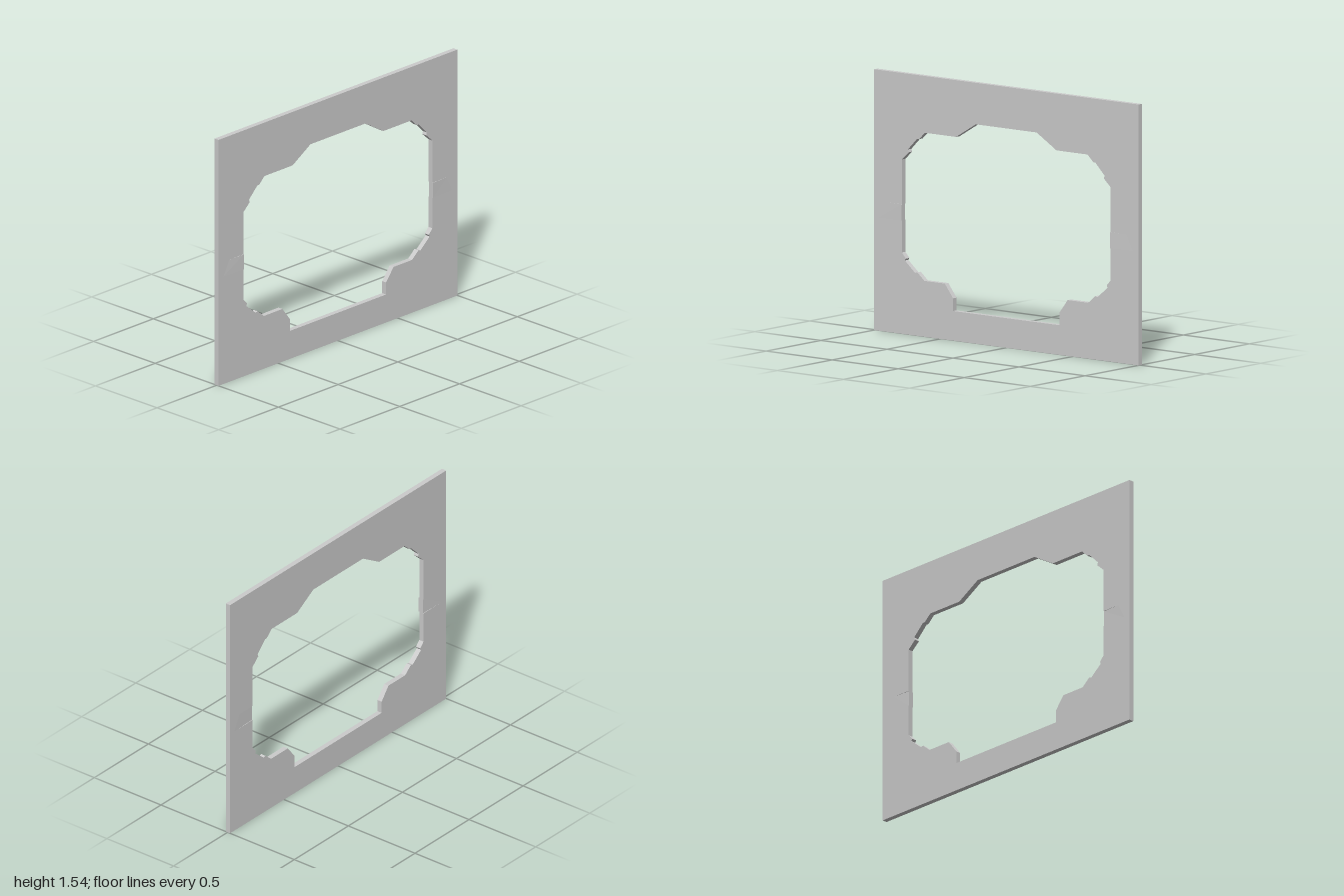
import * as THREE from 'three';

const BACK = -0.018, THICK = 0.032, BULGE = 0.004;

// Extrude a (z, y) outline through the thickness of the plate
function slab(outline, hole) {
  const toPoints = (pts) => pts.map(([u, v]) => new THREE.Vector2(u, v));
  const shape = new THREE.Shape(toPoints(outline));
  if (hole) shape.holes.push(new THREE.Path(toPoints(hole)));
  const geo = new THREE.ExtrudeGeometry(shape, { depth: THICK, bevelEnabled: false });
  geo.translate(0, 0, BACK);
  return geo;
}

export function createModel() {
  const group = new THREE.Group();
  group.name = 'wallPanel';
  const material = new THREE.MeshStandardMaterial({ color: 0xcccccc, flatShading: true });

  const add = (geo, name) => {
    geo.rotateY(Math.PI / 2);
    geo.computeVertexNormals();
    const mesh = new THREE.Mesh(geo, material);
    mesh.name = name;
    group.add(mesh);
  };

  // Side insert: flush at its outer end, pushed out at the opening
  const insert = [[0.79, 0.765], [0.91, 0.765], [0.96, 0.67], [0.79, 0.67]];

  // Half of the opening, from top to bottom, with its notched corners
  const half = [
    [0.23, 1.295], [0.38, 1.205], [0.615, 1.205], [0.66, 1.163], [0.675, 1.163],
    [0.745, 1.093], [0.738, 1.077], [0.79, 1.03],
    ...insert,
    [0.79, 0.48], [0.76, 0.447], [0.768, 0.435], [0.69, 0.37], [0.673, 0.375],
    [0.62, 0.33], [0.465, 0.33], [0.403, 0.25], [0.403, 0.175],
  ];
  const mirror = (pts) => pts.map(([u, v]) => [-u, v]).reverse();

  // Plate with the opening
  const plate = [[-1, 0], [1, 0], [1, 1.54], [-1, 1.54]];
  add(slab(plate, [...half, ...mirror(half)]), 'framePlate');

  // One slightly sloping insert on each side
  for (const [outline, name] of [[insert, 'frontInsert'], [mirror(insert), 'backInsert']]) {
    const geo = slab(outline);
    const pos = geo.attributes.position;
    for (let i = 0; i < pos.count; i++) {
      if (Math.abs(pos.getX(i)) < 0.8) pos.setZ(i, pos.getZ(i) + BULGE);
    }
    add(geo, name);
  }
  return group;
}
